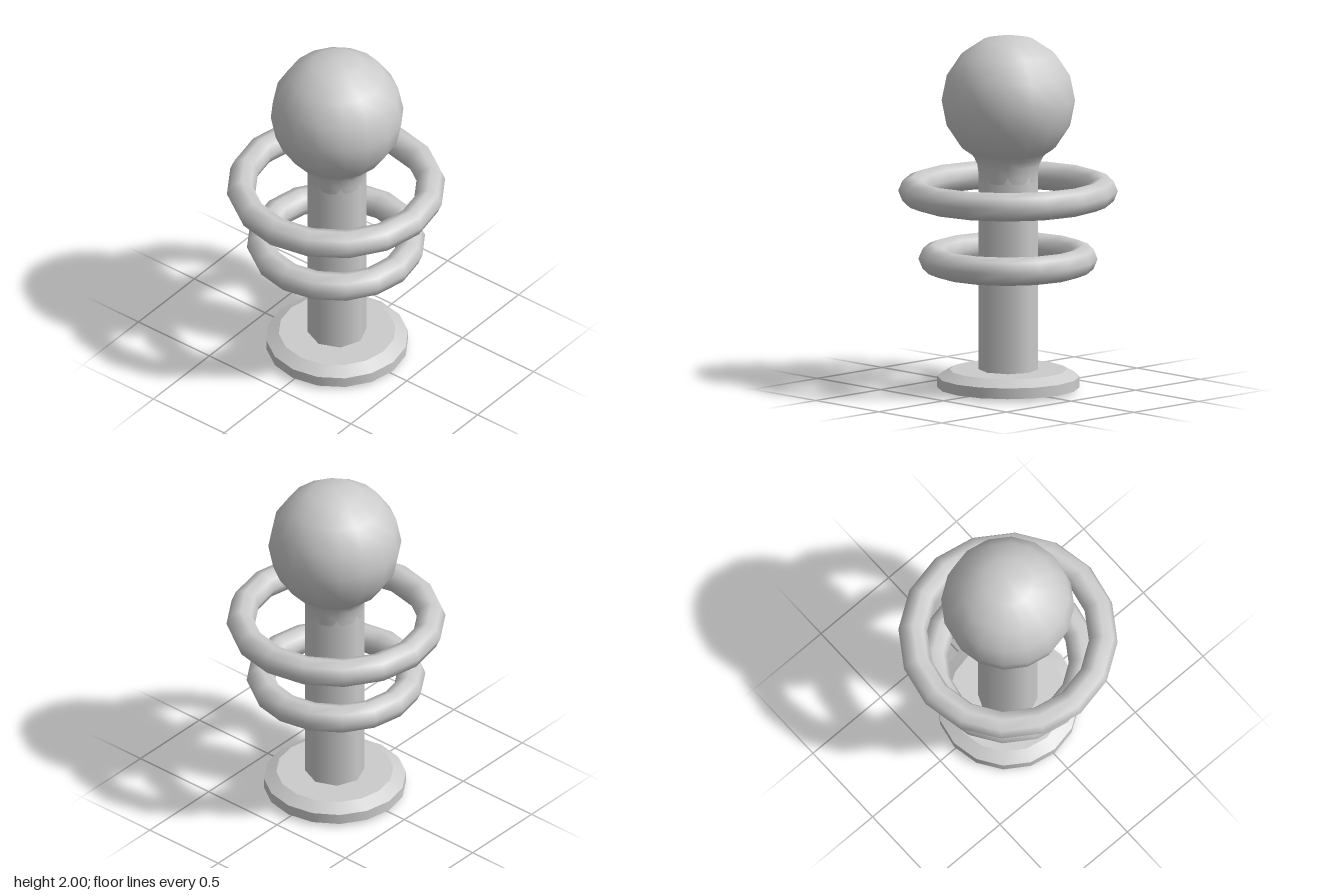
import * as THREE from 'three';

const material = new THREE.MeshStandardMaterial({ color: 0xcccccc });

function add(parent, name, geometry, y) {
  const mesh = new THREE.Mesh(geometry, material);
  mesh.name = name;
  mesh.position.y = y;
  parent.add(mesh);
  return mesh;
}

export function createModel() {
  const model = new THREE.Group();
  model.name = 'ringedPost';

  // Post, base, neck and ball share one axis, set slightly off the rings' centre
  const stand = new THREE.Group();
  stand.name = 'stand';
  stand.position.set(0.006, 0, 0.003);
  model.add(stand);

  // Octagonal post, poking just below the base
  add(stand, 'post', new THREE.CylinderGeometry(0.165, 0.165, 1.3, 8), 0.65);

  // Base disc with a chamfered top
  add(stand, 'baseDisc', new THREE.CylinderGeometry(0.395, 0.395, 0.06, 16), 0.048);
  add(stand, 'baseChamfer', new THREE.CylinderGeometry(0.325, 0.395, 0.04, 16, 1), 0.098);

  // Concave neck flaring from the post into the ball
  const neckProfile = [
    [0.16, 1.18], [0.165, 1.22], [0.172, 1.27], [0.19, 1.31], [0.218, 1.342], [0.262, 1.37],
  ].map(([r, y]) => new THREE.Vector2(r, y));
  add(stand, 'neck', new THREE.LatheGeometry(neckProfile, 16), 0);

  // Ball
  add(stand, 'ball', new THREE.SphereGeometry(0.37, 16, 8), 1.63);

  // Two floating rings
  for (const [name, radius, y] of [['lowerRing', 0.417, 0.738], ['upperRing', 0.529, 1.12]]) {
    const ring = new THREE.TorusGeometry(radius, 0.08, 8, 16);
    ring.rotateX(-Math.PI / 2);
    add(model, name, ring, y);
  }

  return model;
}
